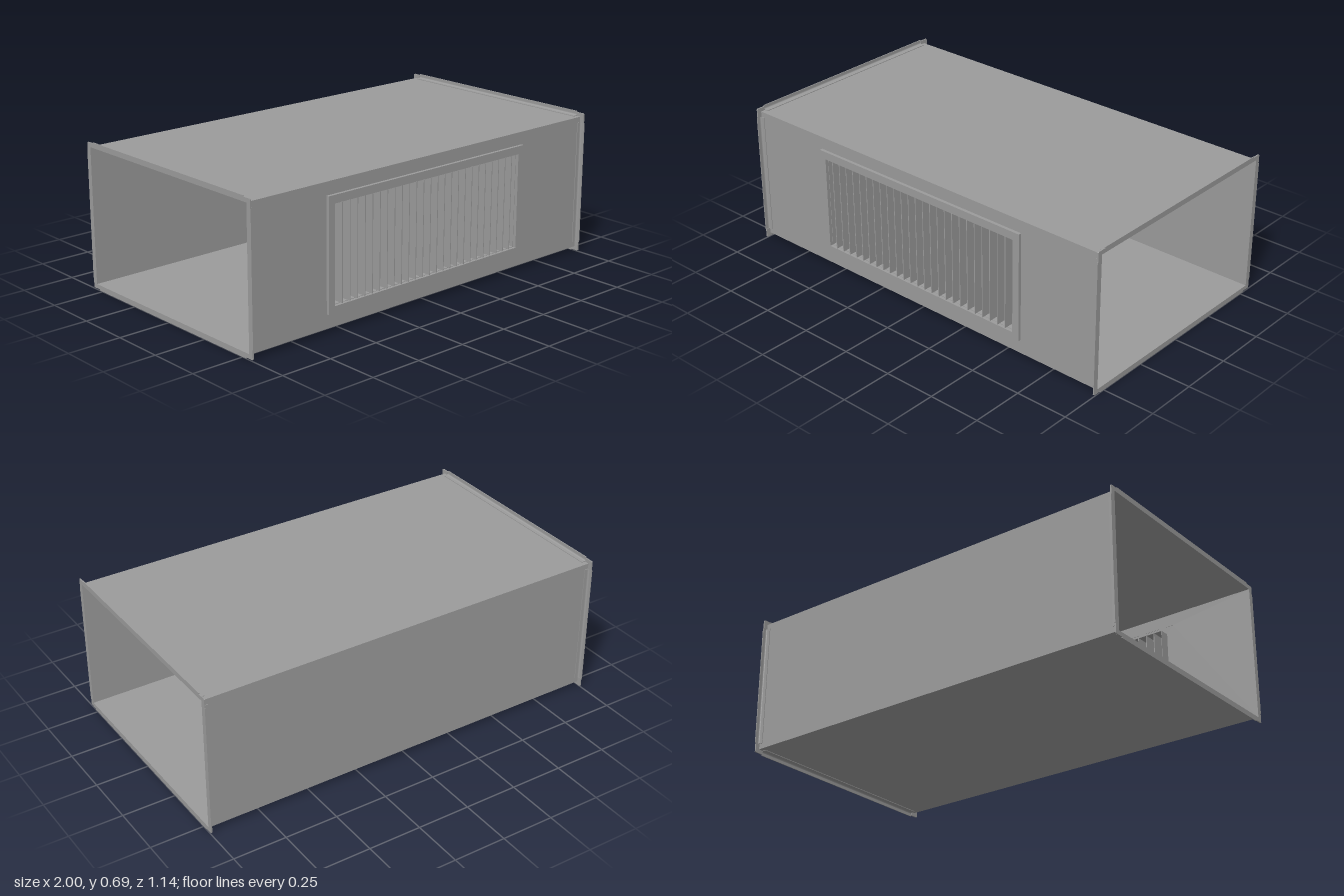
import * as THREE from 'three';

const CY = 0.3425;              // height of the duct axis
const HZ = 0.5445, HY = 0.3195; // half size of the duct section
const WALL = 0.002;
const OPENING = { x: 0.554, y0: 0.12, y1: 0.566 };
const FRAME = { x: 0.588, y0: 0.088, y1: 0.603, front: 0.559 };
const COLLAR_BACK = 0.494;

const material = new THREE.MeshStandardMaterial({ color: 0x9b9b9b, flatShading: true, side: THREE.DoubleSide });

function add(parent, name, geometry, x = 0, y = 0, z = 0) {
  const mesh = new THREE.Mesh(geometry, material);
  mesh.name = name;
  mesh.position.set(x, y, z);
  parent.add(mesh);
  return mesh;
}

const box = (w, h, d) => new THREE.BoxGeometry(w, h, d);

const polygon = (points) => new THREE.Shape(points.map(([a, b]) => new THREE.Vector2(a, b)));

const extrude = (shape, depth) => new THREE.ExtrudeGeometry(shape, { depth, bevelEnabled: false, curveSegments: 8 });

// Rectangular plate with a rectangular hole, extruded along z
function framePlate(x, y0, y1, hx, hy0, hy1, depth) {
  const shape = polygon([[-x, y0], [x, y0], [x, y1], [-x, y1]]);
  shape.holes.push(polygon([[-hx, hy0], [-hx, hy1], [hx, hy1], [hx, hy0]]));
  return extrude(shape, depth);
}

// Angle strip centred on its length (z), foot on y = 0, face at x = 0, with a rounded inner bend
function flangeStrip(length, height) {
  const profile = new THREE.Shape();
  profile.moveTo(0, 0);
  profile.lineTo(0, height);
  profile.lineTo(-0.004, height);
  profile.lineTo(-0.004, 0.011);
  profile.quadraticCurveTo(-0.004, 0.003, -0.012, 0.003);
  profile.lineTo(-0.026, 0.003);
  profile.lineTo(-0.026, 0);
  return extrude(profile, length).translate(0, 0, -length / 2);
}

// L-shaped corner plate in the y-z plane, for the +y +z corner
function cornerPlate() {
  const shape = polygon([
    [0.522, HY], [HZ, HY], [HZ, 0.293], [0.565, 0.293],
    [0.565, 0.334], [0.5615, 0.3375], [0.522, 0.3375],
  ]);
  return extrude(shape, 0.006).rotateY(-Math.PI / 2);
}

function createFlange() {
  const flange = new THREE.Group();
  flange.name = 'endFlange';
  for (const s of [1, -1]) {
    const across = add(flange, 'flangeStripAcross', flangeStrip(1.044, 0.023));
    across.position.y = s * HY;
    across.rotation.x = s > 0 ? 0 : Math.PI;
    const upright = add(flange, 'flangeStripUpright', flangeStrip(0.586, 0.0235));
    upright.position.z = s * HZ;
    upright.rotation.x = s * Math.PI / 2;
    for (const t of [1, -1]) {
      add(flange, 'flangeCorner', cornerPlate()).scale.set(1, s, t);
    }
  }
  return flange;
}

export function createModel() {
  const model = new THREE.Group();
  model.name = 'ventilationDuct';

  // Sheet-metal walls, open at both ends; the front wall is cut out for the grille
  const duct = new THREE.Group();
  duct.name = 'ductWalls';
  model.add(duct);
  add(duct, 'topWall', box(2, WALL, 2 * HZ), 0, CY + HY - WALL / 2, 0);
  add(duct, 'bottomWall', box(2, WALL, 2 * HZ), 0, CY - HY + WALL / 2, 0);
  const sideHeight = 2 * (HY - WALL);
  add(duct, 'backWall', box(2, sideHeight, WALL), 0, CY, -HZ + WALL / 2);
  add(duct, 'frontWall', framePlate(1, CY - sideHeight / 2, CY + sideHeight / 2,
    FRAME.x, FRAME.y0, FRAME.y1, WALL), 0, 0, HZ - WALL);

  // Flanges at both ends
  for (const side of [1, -1]) {
    const flange = createFlange();
    flange.position.set(side, CY, 0);
    flange.rotation.y = side > 0 ? 0 : Math.PI;
    model.add(flange);
  }

  // Grille: face frame, inner collar and upright vanes
  const grille = new THREE.Group();
  grille.name = 'grille';
  model.add(grille);
  const { x, y0, y1 } = OPENING;
  const frameBack = HZ - WALL / 2;
  add(grille, 'grilleFrame', framePlate(FRAME.x, FRAME.y0, FRAME.y1, x, y0, y1,
    FRAME.front - frameBack), 0, 0, frameBack);
  add(grille, 'grilleCollar', framePlate(x, y0, y1, x - WALL, y0 + WALL, y1 - WALL,
    frameBack - COLLAR_BACK), 0, 0, COLLAR_BACK);

  const vaneCount = 25, pitch = 2 * x / (vaneCount + 1);
  const vaneDepth = FRAME.front - 0.002 - COLLAR_BACK;
  const vane = box(0.004, y1 - y0 - 2 * WALL, vaneDepth);
  for (let i = 1; i <= vaneCount; i++) {
    add(grille, 'vane', vane, -x + i * pitch, (y0 + y1) / 2, COLLAR_BACK + vaneDepth / 2);
  }
  return model;
}
